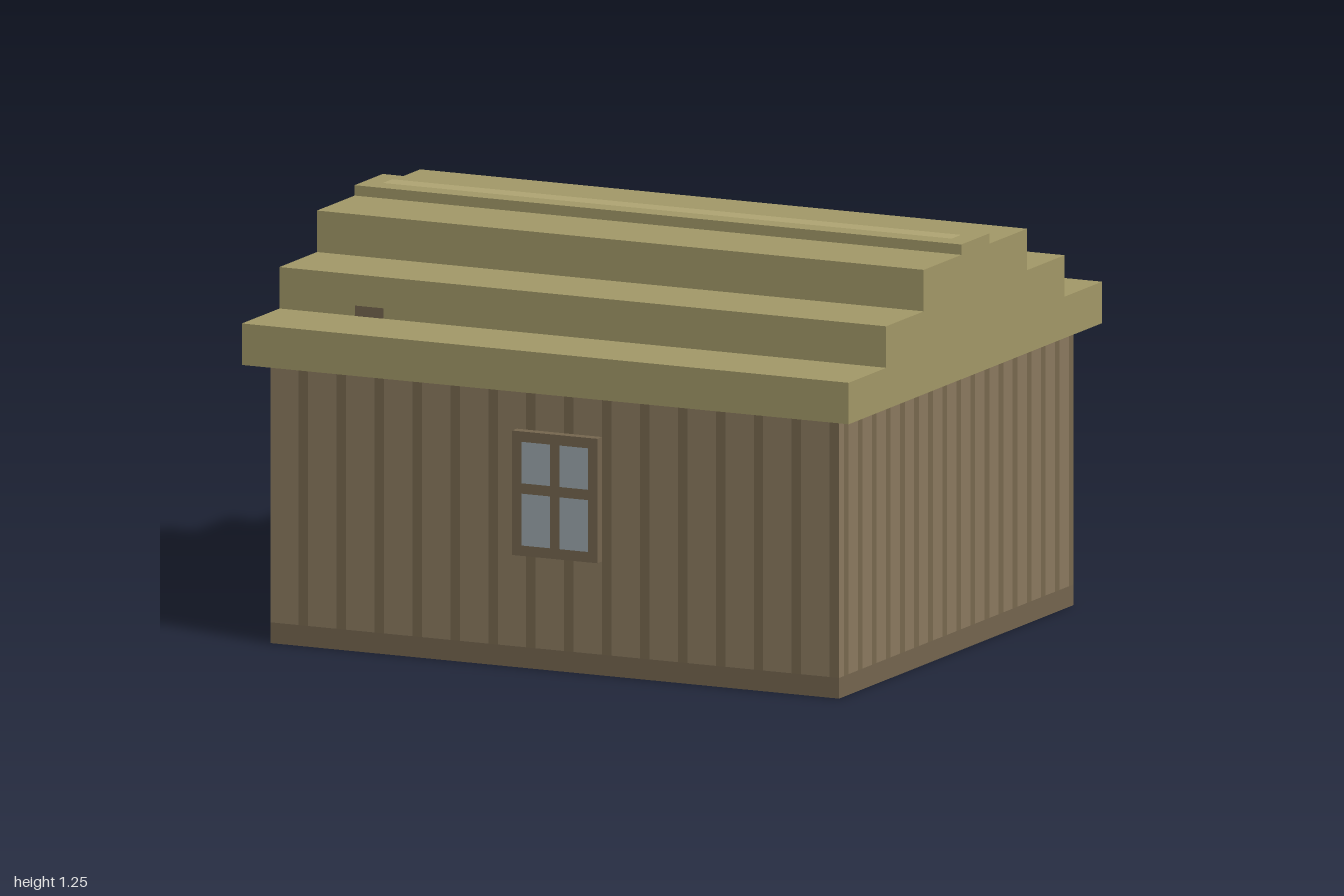
import * as THREE from 'three';

const P = 1 / 32; // building module that every part snaps to
const paint = (color) => new THREE.MeshStandardMaterial({ color });
const plank = paint(0x8b7a5f), groove = paint(0x78694f), trim = paint(0x75664f);
const thatch = paint(0xa39968), thatchLight = paint(0xafa573);
const doorWood = paint(0x796852), glass = paint(0x9ca7ad), metal = paint(0x9b9b9b);

function add(parent, name, geometry, material, x = 0, y = 0, z = 0) {
  const mesh = new THREE.Mesh(geometry, material);
  mesh.name = name;
  mesh.position.set(x, y, z);
  parent.add(mesh);
  return mesh;
}

// box given by its limits
function block(parent, name, material, x0, x1, y0, y1, z0, z1) {
  return add(parent, name, new THREE.BoxGeometry(x1 - x0, y1 - y0, z1 - z0), material,
    (x0 + x1) / 2, (y0 + y1) / 2, (z0 + z1) / 2);
}

// one wall: vertical planks with grooves between them, above a skirting band
function wall(name, units, first, period, distance, angle) {
  const g = new THREE.Group();
  g.name = name;
  const w = units * P, y0 = 2 * P, y1 = 27 * P;
  const strip = (label, a, b, lo, hi, mat) => {
    if (b > a) add(g, label, new THREE.PlaneGeometry((b - a) * P, hi - lo), mat,
      (a + b) / 2 * P - w / 2, (lo + hi) / 2, distance);
  };
  let start = 0;
  for (let i = first; i < units; i += period) {
    strip('plank', start, i, y0, y1, plank);
    strip('groove', i, i + 1, y0, y1, groove);
    start = i + 1;
  }
  strip('plank', start, units, y0, y1, plank);
  strip('skirting', 0, units, 0, y0, trim);
  g.rotation.y = angle;
  return g;
}

// stepped roof, one profile extruded along x
function roof() {
  const g = new THREE.Group();
  g.name = 'roof';
  const steps = [[27, 31], [19, 35], [11, 39], [3, 40]]; // half depth, top
  const right = [], left = [];
  let base = 27;
  for (const [d, top] of steps) {
    right.push(new THREE.Vector2(d * P, base * P), new THREE.Vector2(d * P, top * P));
    left.unshift(new THREE.Vector2(-d * P, top * P), new THREE.Vector2(-d * P, base * P));
    base = top;
  }
  const geo = new THREE.ExtrudeGeometry(new THREE.Shape([...right, ...left]), { depth: 2, bevelEnabled: false });
  geo.translate(0, 0, -1).rotateY(Math.PI / 2);
  add(g, 'steppedThatch', geo, thatch);
  // pale ridge line and a small dark patch on the front
  add(g, 'ridgeStrip', new THREE.PlaneGeometry(60 * P, 2 * P).rotateX(-Math.PI / 2), thatchLight, 0, 40 * P + 0.001, 0);
  add(g, 'thatchPatch', new THREE.PlaneGeometry(3 * P, P), trim, -22.5 * P, 31.5 * P, 19 * P + 0.001);
  return g;
}

// window with four panes flush in the frame
function makeWindow() {
  const g = new THREE.Group();
  g.name = 'window';
  const rect = (Type, x0, x1, y0, y1) => new Type([[x0, y0], [x1, y0], [x1, y1], [x0, y1]]
    .map(([x, y]) => new THREE.Vector2(x * P, y * P)));
  const frame = rect(THREE.Shape, -4, 5, 11, 23);
  for (const [x0, x1] of [[-3, 0], [1, 4]]) {
    for (const [y0, y1] of [[12, 17], [18, 22]]) {
      frame.holes.push(rect(THREE.Path, x0, x1, y0, y1));
      block(g, 'pane', glass, x0 * P, x1 * P, y0 * P, y1 * P, 25 * P, 26 * P);
    }
  }
  add(g, 'windowFrame', new THREE.ExtrudeGeometry(frame, { depth: P, bevelEnabled: false }), trim, 0, 0, 25 * P);
  return g;
}

export function createModel() {
  const model = new THREE.Group();
  model.name = 'hut';

  model.add(
    wall('frontWall', 60, 3, 4, 25 * P, 0),
    wall('backWall', 60, 3, 4, 25 * P, Math.PI),
    wall('leftWall', 50, 1, 3, 30 * P, Math.PI / 2),
    wall('rightWall', 50, 1, 3, 30 * P, -Math.PI / 2),
    roof(),
    makeWindow(),
  );
  add(model, 'floor', new THREE.PlaneGeometry(60 * P, 50 * P).rotateX(Math.PI / 2), trim);

  // back door in front of its slightly lower frame
  block(model, 'doorFrame', doorWood, -4 * P, 4 * P, 0, 18 * P, -26 * P, -25 * P);
  block(model, 'door', doorWood, -5 * P, 5 * P, 0, 19 * P, -27 * P, -26 * P);

  // small box beside the door with a metal band
  const crate = new THREE.Group();
  crate.name = 'doorsideBox';
  for (const [name, mat, y0, y1] of [['boxBase', trim, 0, 2], ['boxBand', metal, 2, 3], ['boxTop', trim, 3, 5]]) {
    block(crate, name, mat, 6 * P, 11 * P, y0 * P, y1 * P, -26 * P, -25 * P);
  }
  model.add(crate);
  return model;
}
